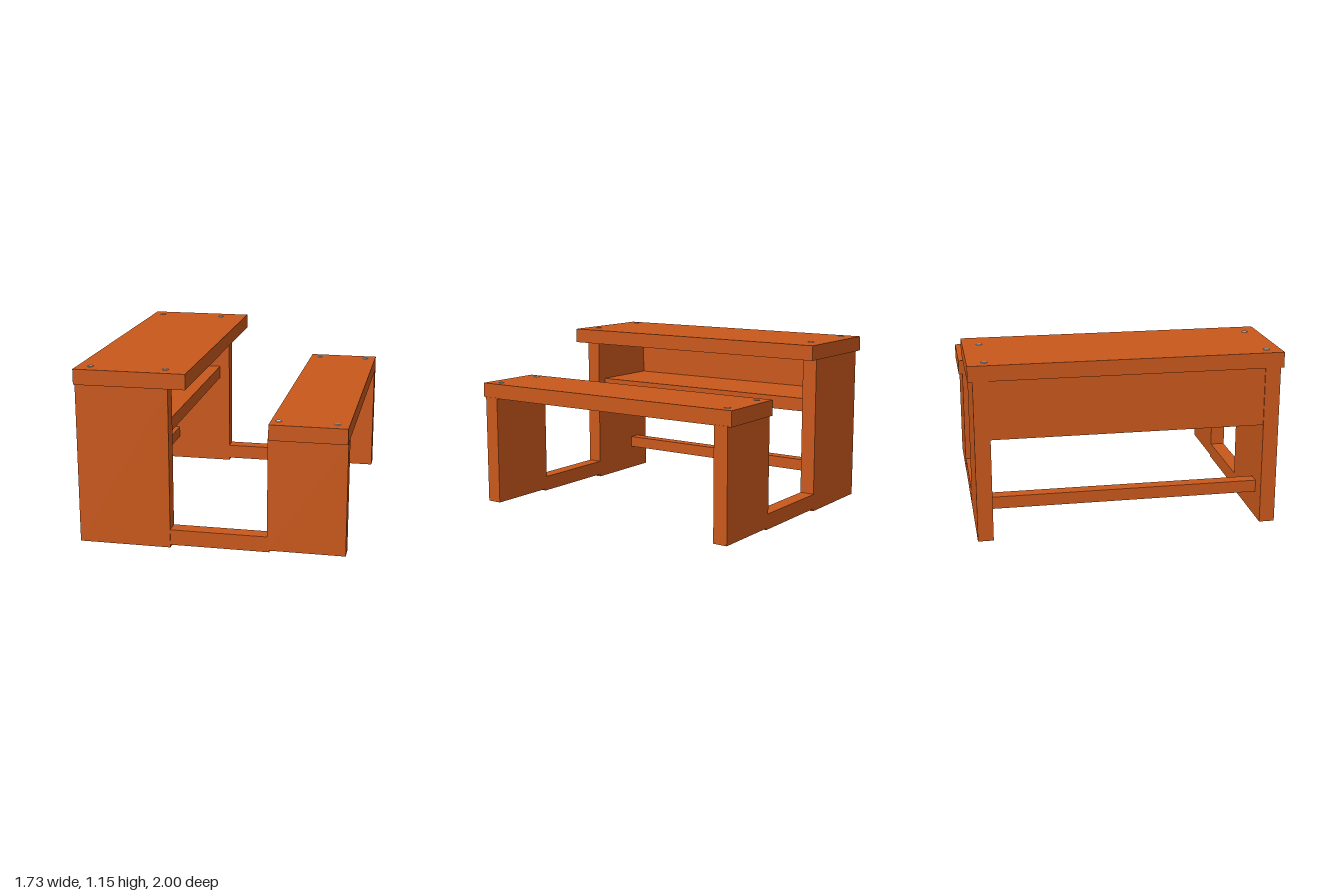
import * as THREE from 'three';

export function createModel() {
  const model = new THREE.Group();
  const wood = new THREE.MeshStandardMaterial({ color: 0xc9581c });
  const metal = new THREE.MeshStandardMaterial({ color: 0xcccccc });

  // A board given by its extents along each axis
  const board = (name, [x0, x1], [y0, y1], [z0, z1]) => {
    const mesh = new THREE.Mesh(new THREE.BoxGeometry(x1 - x0, y1 - y0, z1 - z0), wood);
    mesh.position.set((x0 + x1) / 2, (y0 + y1) / 2, (z0 + z1) / 2);
    mesh.name = name;
    model.add(mesh);
  };

  // Long boards
  const inner = [-0.87, 0.88];
  board('deskTop', [-0.865, -0.145], [1.05, 1.15], [-1, 1]);
  board('benchSeat', [0.372, 0.86], [0.76, 0.86], [-1, 1]);
  board('shelf', [-0.84, -0.335], [0.67, 0.76], inner);
  board('backPanel', [-0.855, -0.84], [0.67, 1.05], inner);
  board('footRest', [-0.75, -0.667], [0.17, 0.25], inner);

  // End frames: desk leg, bench leg and the floor rail joining them
  const ends = [
    { side: 'front', desk: [0.88, 0.98], bench: [0.88, 0.98], rail: [0.88, 0.977] },
    { side: 'rear', desk: [-0.97, -0.87], bench: [-0.975, -0.878], rail: [-0.972, -0.872] },
  ];
  for (const { side, desk, bench, rail } of ends) {
    board(side + 'DeskLeg', [-0.862, -0.262], [0, 1.05], desk);
    board(side + 'BenchLeg', [0.365, 0.862], [0.03, 0.765], bench);
    board(side + 'FloorRail', [-0.265, 0.38], [0.018, 0.12], rail);
  }

  // Round screw heads set into the desk top and the seat
  const head = new THREE.CylinderGeometry(0.02, 0.02, 0.03, 24);
  const addScrews = (name, top, spots) => spots.forEach(([x, z]) => {
    const screw = new THREE.Mesh(head, metal);
    screw.position.set(x, top - 0.015, z);
    screw.name = name;
    model.add(screw);
  });
  addScrews('deskScrew', 1.155, [[-0.79, -0.89], [-0.33, -0.89], [-0.78, 0.905], [-0.295, 0.905]]);
  addScrews('benchScrew', 0.863, [[0.44, -0.925], [0.785, -0.925], [0.42, 0.905], [0.785, 0.905]]);

  return model;
}
